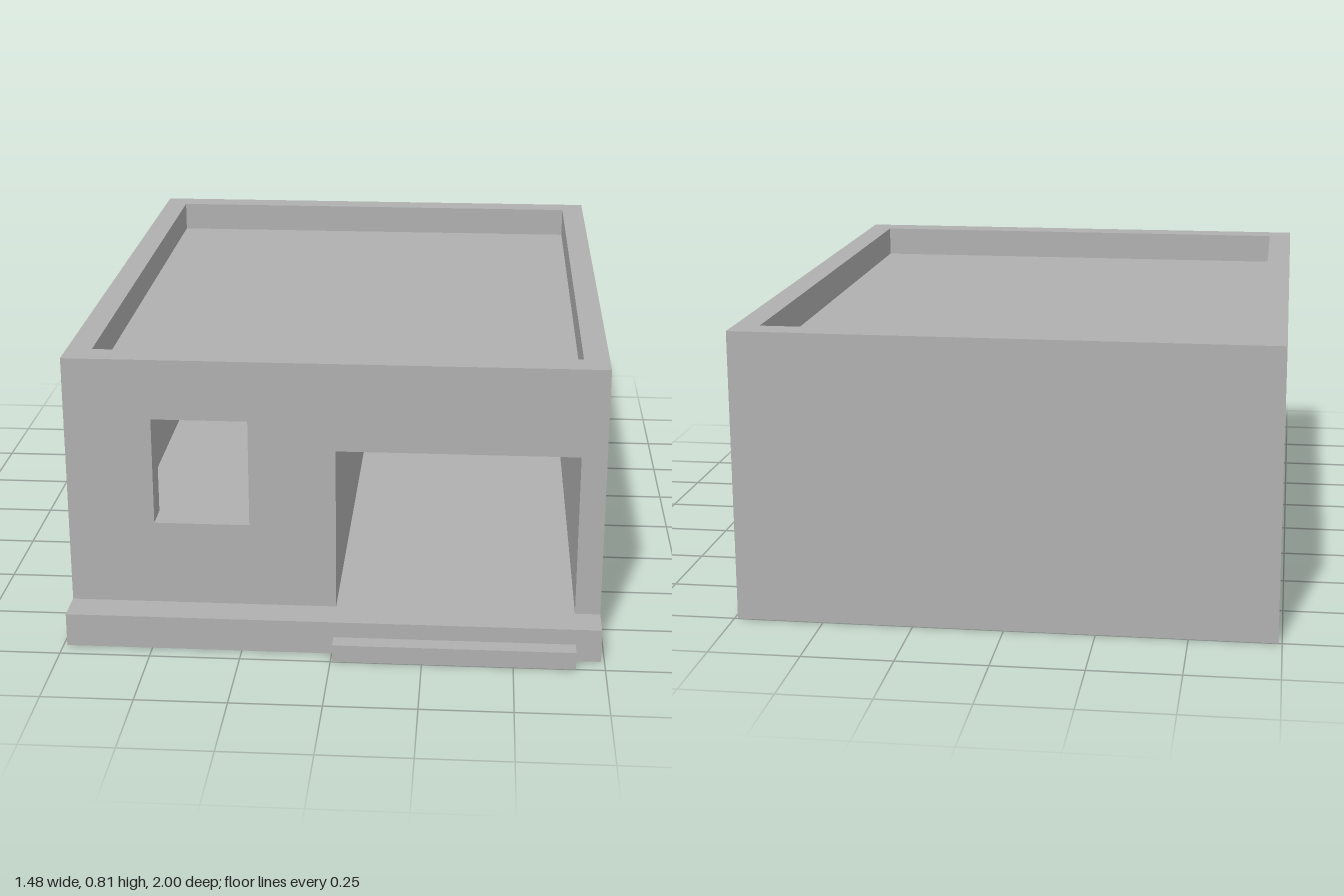
import * as THREE from 'three';

// Closed rectangle path from corner (x0, y0) to corner (x1, y1)
function rect(PathType, x0, y0, x1, y1) {
  const p = new PathType();
  p.moveTo(x0, y0);
  p.lineTo(x1, y0);
  p.lineTo(x1, y1);
  p.lineTo(x0, y1);
  p.closePath();
  return p;
}

export function createModel() {
  const model = new THREE.Group();
  model.name = 'house';
  const concrete = new THREE.MeshStandardMaterial({ color: 0xb0b0b0 });
  concrete.name = 'concrete grey';

  const W = 0.74, IN = 0.67;              // outer and inner half widths
  const BACK = -1, BACK_IN = -0.92;       // back wall faces
  const FRONT = 0.85, FRONT_IN = 0.765;   // front wall faces
  const FLOOR = 0.095, CEIL = 0.65, ROOF = 0.72, TOP = 0.81;

  function add(name, geometry) {
    const mesh = new THREE.Mesh(geometry, concrete);
    mesh.name = name;
    model.add(mesh);
    return mesh;
  }
  function box(name, x0, x1, y0, y1, z0, z1) {
    add(name, new THREE.BoxGeometry(x1 - x0, y1 - y0, z1 - z0))
      .position.set((x0 + x1) / 2, (y0 + y1) / 2, (z0 + z1) / 2);
  }

  // Floor slab with front porch ledge, and the doorstep
  box('floorSlab', -W, W, 0, FLOOR, BACK, 0.95);
  box('doorstep', 0.005, IN, 0, 0.05, 0.95, 1);

  // Back wall, inner partition and sunken roof
  box('backWall', -W, W, FLOOR, TOP, BACK, BACK_IN);
  box('partition', -0.065, 0.005, FLOOR, CEIL, BACK_IN, FRONT_IN);
  box('roofSlab', -IN, IN, CEIL, ROOF, BACK_IN, FRONT_IN);

  // Front wall: the wide doorway is a notch in the outline, the window a hole
  const front = new THREE.Shape([
    [-W, FLOOR], [0.005, FLOOR], [0.005, 0.56], [IN, 0.56],
    [IN, FLOOR], [W, FLOOR], [W, TOP], [-W, TOP],
  ].map(([x, y]) => new THREE.Vector2(x, y)));
  front.holes.push(rect(THREE.Path, -0.5, 0.335, -0.235, 0.64));
  add('frontWall', new THREE.ExtrudeGeometry(front, { depth: FRONT - FRONT_IN, bevelEnabled: false }))
    .position.z = FRONT_IN;

  // Side walls with slot windows, given by the z of each window's centre
  function sideWall(name, x, windows) {
    const shape = rect(THREE.Shape, -FRONT_IN, FLOOR, -BACK_IN, TOP);
    for (const z of windows) {
      shape.holes.push(rect(THREE.Path, -z - 0.16, 0.565, -z + 0.16, 0.645));
    }
    const wall = add(name, new THREE.ExtrudeGeometry(shape, { depth: W - IN, bevelEnabled: false }));
    wall.rotation.y = Math.PI / 2;
    wall.position.x = x;
  }
  sideWall('leftWall', IN, [0.485, -0.075, -0.63]);
  sideWall('rightWall', -W, [-0.075]);

  return model;
}
